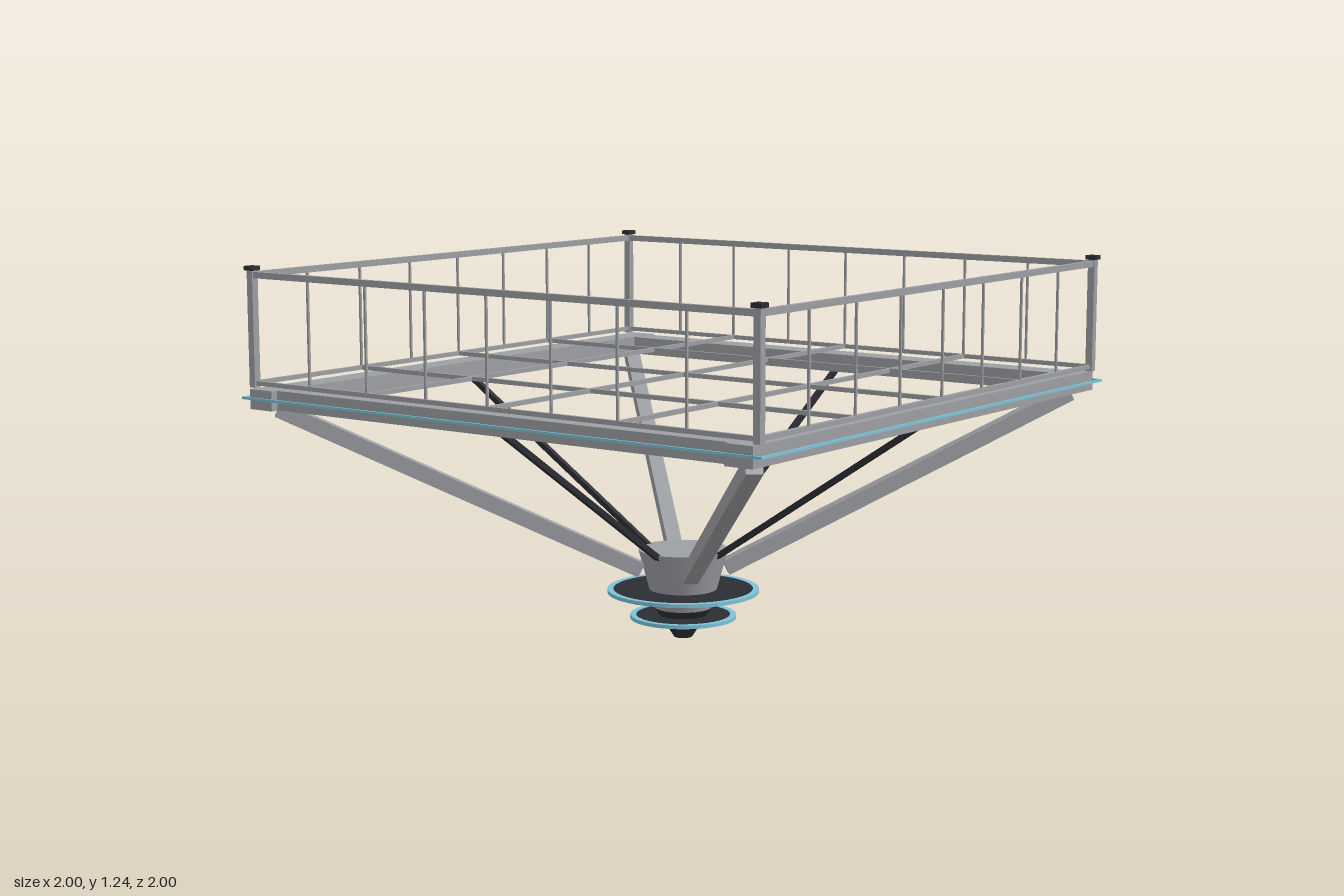
import * as THREE from 'three';

const steel = new THREE.MeshStandardMaterial({ color: 0x9c9fa3 });
const dark = new THREE.MeshStandardMaterial({ color: 0x2b2d33 });
const blue = new THREE.MeshStandardMaterial({ color: 0x7cc3d8 });

export function createModel() {
  const model = new THREE.Group();

  const add = (name, geometry, material, x = 0, y = 0, z = 0) => {
    const mesh = new THREE.Mesh(geometry, material);
    mesh.name = name;
    mesh.position.set(x, y, z);
    model.add(mesh);
    return mesh;
  };
  const box = (name, material, w, h, d, x, y, z) =>
    add(name, new THREE.BoxGeometry(w, h, d), material, x, y, z);
  // Square bar running between two points
  const bar = (name, material, from, to, size) => {
    const a = new THREE.Vector3(...from), b = new THREE.Vector3(...to);
    const mesh = box(name, material, size, size, a.distanceTo(b), 0, 0, 0);
    mesh.position.copy(a).add(b).multiplyScalar(0.5);
    mesh.lookAt(b);
    return mesh;
  };

  const edge = 0.97;
  for (const s of [-1, 1]) {
    // Deck frame with its thin outer light strips
    box('frontBackBeam', steel, 1.99, 0.064, 0.095, 0, 0.823, s * 0.92);
    box('sideBeam', steel, 0.095, 0.062, 1.745, s * 0.923, 0.823, 0);
    box('lightStrip', blue, 2, 0.008, 0.008, 0, 0.825, s * 0.996);
    box('lightStrip', blue, 0.008, 0.008, 1.984, s * 0.996, 0.825, 0);

    // Top rails
    box('topRail', steel, 2 * edge, 0.02, 0.016, 0, 1.215, s * edge);
    box('topRail', steel, 0.016, 0.02, 2 * edge, s * edge, 1.215, 0);

    // Thin balusters
    for (let i = -3; i <= 3; i++) {
      const t = i * edge / 4;
      box('baluster', steel, 0.007, 0.33, 0.007, t, 1.042, s * edge);
      box('baluster', steel, 0.007, 0.33, 0.007, s * edge, 1.042, t);
    }

    // Slim dark tie rods to the middle of each beam
    bar('tieRod', dark, [0, 0.28, s * 0.13], [0, 0.8, s * 0.92], 0.018);
    bar('tieRod', dark, [s * 0.13, 0.28, 0], [s * 0.92, 0.8, 0], 0.018);

    // Corner posts, caps and diagonal struts
    for (const t of [-1, 1]) {
      box('cornerPost', steel, 0.024, 0.375, 0.024, s * edge, 1.045, t * edge);
      box('postCap', dark, 0.036, 0.014, 0.036, s * edge, 1.236, t * edge);
      bar('diagonalStrut', steel, [s * 0.1, 0.23, t * 0.1], [s * 0.92, 0.787, t * 0.92], 0.05);
    }
  }

  // Floor grid, its outer lines forming the lower rails
  for (let i = -2; i <= 2; i++) {
    const t = i * edge / 2;
    box('floorBar', steel, 2 * edge, 0.014, 0.012, 0, 0.872, t);
    box('floorBar', steel, 0.012, 0.014, 2 * edge, t, 0.872, 0);
  }

  // Central hub and dark nose cone
  add('hub', new THREE.CylinderGeometry(0.148, 0.095, 0.195, 32), steel, 0, 0.1975, 0);
  add('noseCone', new THREE.CylinderGeometry(0.095, 0.03, 0.1, 32), dark, 0, 0.05, 0);

  // Dark discs with blue rims
  for (const [y, r] of [[0.157, 0.25], [0.07, 0.175]]) {
    add('disc', new THREE.CylinderGeometry(r - 0.015, r - 0.015, 0.01, 48), dark, 0, y, 0);
    const rim = [[-0.02, -0.006], [0, -0.006], [0, 0.006], [-0.02, 0.006], [-0.02, -0.006]];
    for (let i = 0; i < 4; i++) {
      const side = [rim[i], rim[i + 1]].map(([dr, dy]) => new THREE.Vector2(r + dr, dy));
      add('discRim', new THREE.LatheGeometry(side, 48), blue, 0, y, 0);
    }
  }
  return model;
}
